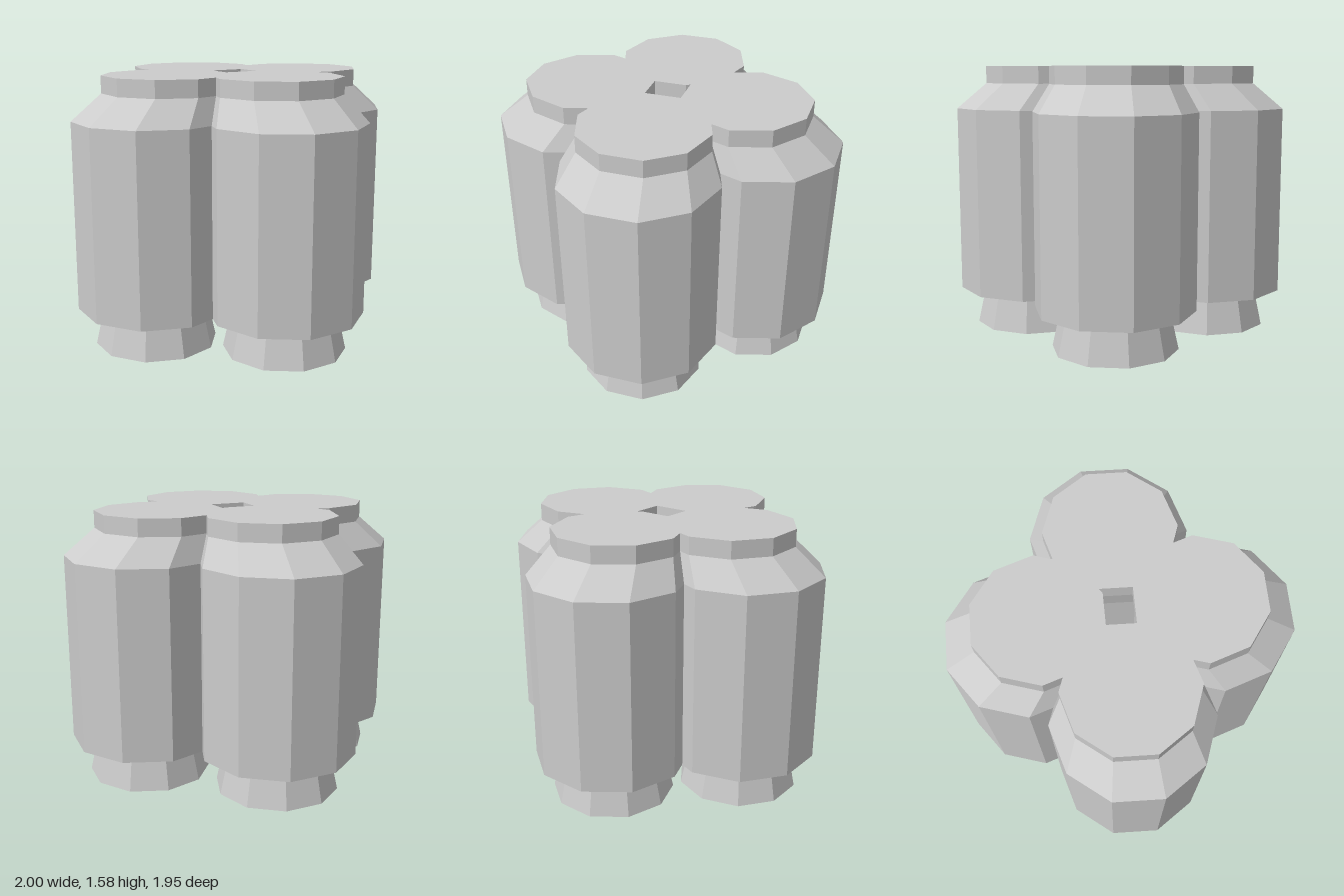
import * as THREE from 'three';

const material = new THREE.MeshStandardMaterial({ color: 0xcccccc, flatShading: true });
const SHOULDER_SCALE = 0.82; // the cluster draws in towards its axis above the shoulder

// Ten-sided solid of revolution, turned and moved to its place in the cluster
function part(name, profile, [x, z, turn]) {
  const points = profile.map(([r, y]) => new THREE.Vector2(r, y));
  const geometry = new THREE.LatheGeometry(points, 10).toNonIndexed();
  geometry.rotateY(THREE.MathUtils.degToRad(turn));
  geometry.translate(x, 0, z);
  const p = geometry.attributes.position;
  for (let i = 0; i < p.count; i++) {
    if (p.getY(i) > 1.4) p.setXYZ(i, p.getX(i) * SHOULDER_SCALE, p.getY(i), p.getZ(i) * SHOULDER_SCALE);
  }
  geometry.computeVertexNormals();
  const mesh = new THREE.Mesh(geometry, material);
  mesh.name = name;
  return mesh;
}

// Tank: flat base, straight wall, sloped shoulder and a short upright collar
const tankProfile = [[0, 0.225], [0.458, 0.225], [0.458, 1.33], [0.458, 1.48], [0.458, 1.58], [0, 1.58]];
// Foot: flared skirt with a dished underside
const footProfile = [[0, 0.07], [0.22, 0.07], [0.29, 0], [0.36, 0], [0.31, 0.225]];

// x, z and turn in degrees of each tank
const places = {
  left: [0.564, -0.03, 0],
  right: [-0.564, 0.037, 0],
  front: [0.025, 0.534, 92],
  back: [-0.057, -0.536, 92],
};

export function createModel() {
  const model = new THREE.Group();
  model.name = 'tankCluster';
  for (const [side, place] of Object.entries(places)) {
    const unit = new THREE.Group();
    unit.name = side + 'Unit';
    unit.add(part(side + 'Tank', tankProfile, place), part(side + 'Foot', footProfile, place));
    model.add(unit);
  }
  return model;
}
